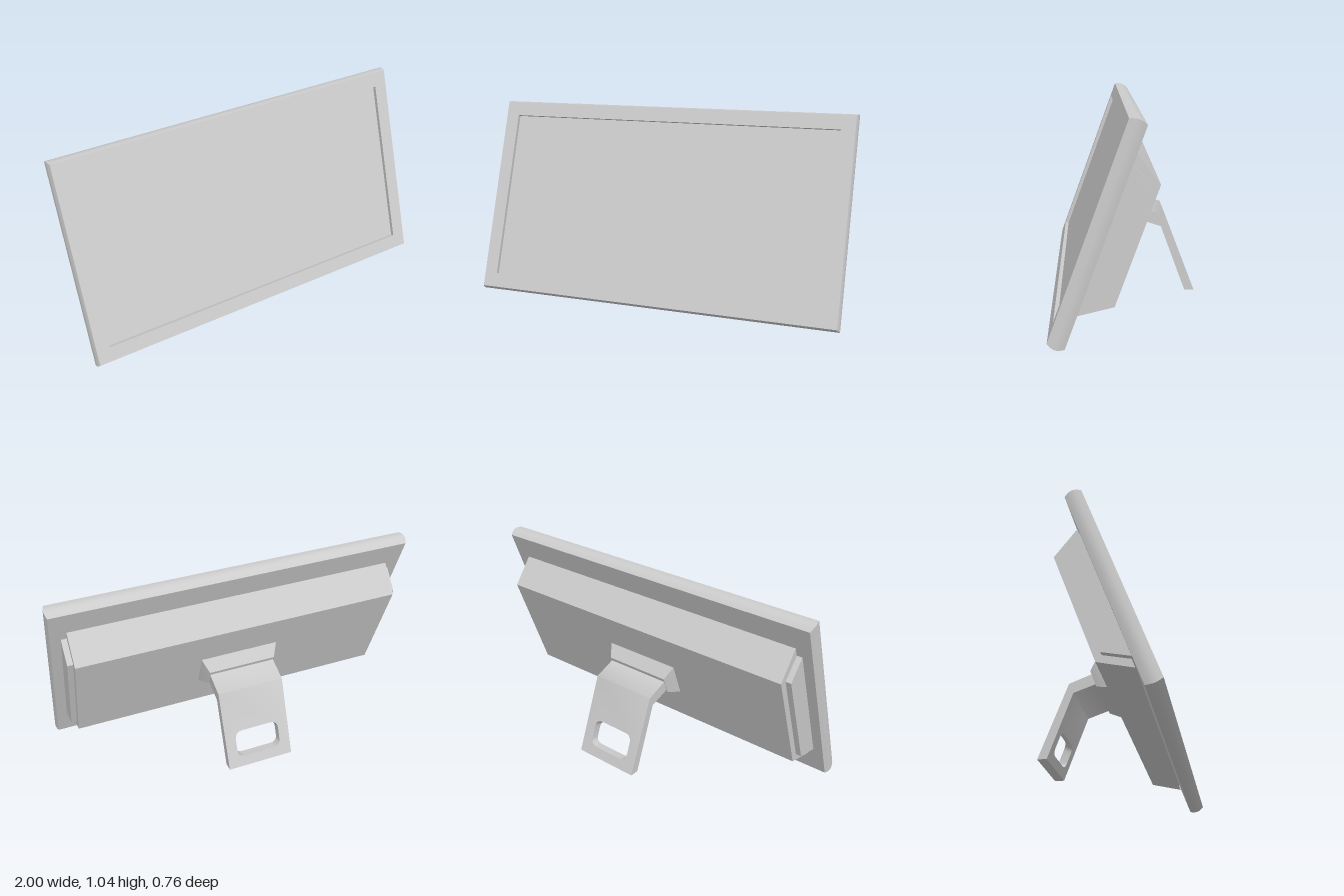
import * as THREE from 'three';
import { mergeGeometries, toCreasedNormals } from 'three/addons/utils/BufferGeometryUtils.js';

const material = new THREE.MeshStandardMaterial({ color: 0xcccccc });
const TILT = THREE.MathUtils.degToRad(20);

function addMesh(parent, name, geometry) {
  const mesh = new THREE.Mesh(geometry, material);
  mesh.name = name;
  parent.add(mesh);
  return mesh;
}

// Rectangular rings [halfWidth, halfHeight, z], joined from back to front and capped.
function loft(rings) {
  const positions = [];
  const index = [];
  for (const [hx, hy, z] of rings) {
    positions.push(-hx, -hy, z, hx, -hy, z, hx, hy, z, -hx, hy, z);
  }
  for (let i = 0; i < rings.length - 1; i++) {
    for (let j = 0; j < 4; j++) {
      const a = i * 4 + j;
      const b = i * 4 + (j + 1) % 4;
      index.push(a, b, b + 4, a, b + 4, a + 4);
    }
  }
  const n = (rings.length - 1) * 4;
  index.push(0, 2, 1, 0, 3, 2, n, n + 1, n + 2, n, n + 2, n + 3);
  const geometry = new THREE.BufferGeometry();
  geometry.setAttribute('position', new THREE.Float32BufferAttribute(positions, 3));
  geometry.setIndex(index);
  return toCreasedNormals(geometry.toNonIndexed(), 0.6);
}

// Side profile of [z, y] points, extruded across the width.
function slab(profile, halfWidth) {
  const shape = new THREE.Shape(profile.map(([z, y]) => new THREE.Vector2(-z, y)));
  const geometry = new THREE.ExtrudeGeometry(shape, { depth: halfWidth * 2, bevelEnabled: false });
  return geometry.translate(0, 0, -halfWidth).rotateY(Math.PI / 2);
}

// Plate of unit height and depth, mapped onto the quad between an outer and an inner edge.
// Each edge is [start, end] in [z, y].
function plate(shape, outer, inner) {
  const geometry = new THREE.ExtrudeGeometry(shape, { depth: 1, bevelEnabled: false, curveSegments: 5 });
  const p = geometry.attributes.position;
  const mix = THREE.MathUtils.lerp;
  for (let i = 0; i < p.count; i++) {
    const v = p.getY(i);
    const t = p.getZ(i);
    const [z, y] = [0, 1].map((k) =>
      mix(mix(outer[0][k], outer[1][k], v), mix(inner[0][k], inner[1][k], v), t));
    p.setXYZ(i, p.getX(i), y, z);
  }
  return geometry;
}

function plateShape(hw) {
  return new THREE.Shape([[-hw, 0], [hw, 0], [hw, 1], [-hw, 1]].map(([x, y]) => new THREE.Vector2(x, y)));
}

// Rounded grip opening
function gripHole(hx, v0, v1, rx, rv) {
  const h = new THREE.Path();
  h.moveTo(-hx + rx, v0);
  h.lineTo(hx - rx, v0);
  h.quadraticCurveTo(hx, v0, hx, v0 + rv);
  h.lineTo(hx, v1 - rv);
  h.quadraticCurveTo(hx, v1, hx - rx, v1);
  h.lineTo(-hx + rx, v1);
  h.quadraticCurveTo(-hx, v1, -hx, v1 - rv);
  h.lineTo(-hx, v0 + rv);
  h.quadraticCurveTo(-hx, v0, -hx + rx, v0);
  return h;
}

export function createModel() {
  const model = new THREE.Group();
  model.name = 'tiltedDisplay';

  // Tilted frame; origin is the middle of the front face
  const tilted = new THREE.Group();
  tilted.name = 'tiltedParts';
  tilted.position.set(0, 0.5365, 0.1975);
  tilted.rotation.x = -TILT;
  model.add(tilted);

  // Panel with bulged rim and recessed screen
  const depth = 0.085;
  const rings = [];
  for (let i = 0; i <= 8; i++) {
    const bulge = Math.sin((i / 8) * Math.PI);
    rings.push([0.99 + 0.01 * bulge, 0.5335 + 0.012 * bulge, -depth + (depth * i) / 8]);
  }
  rings.push([0.917, 0.456, 0], [0.917, 0.456, -0.02]);
  addMesh(tilted, 'screenPanel', loft(rings));

  // Hinge block tapering away from the housing
  addMesh(tilted, 'hingeBlock', loft([[0.19, 0.0505, -0.3035], [0.22, 0.097, -0.24], [0.22, 0.097, -0.22]]));

  // Rear housing and the slightly wider, smaller side plates
  addMesh(model, 'rearHousing', slab([[-0.02, 0.88], [-0.13, 0.735], [0.075, 0.172], [0.25, 0.13]], 0.905));
  addMesh(model, 'sidePlates', slab([[0, 0.835], [-0.088, 0.73], [0.103, 0.203], [0.24, 0.172]], 0.935));

  // Bent stand leg with a grip opening
  const hw = 0.187;
  const neck = plate(plateShape(hw), [[-0.22, 0.415], [-0.09, 0.464]], [[-0.195, 0.36], [-0.07, 0.403]]);
  const shankShape = plateShape(hw);
  shankShape.holes.push(gripHole(0.127, 0.13, 0.47, 0.045, 0.1));
  const shank = plate(shankShape, [[-0.378, 0], [-0.22, 0.415]], [[-0.327, 0], [-0.195, 0.36]]);
  addMesh(model, 'standLeg', toCreasedNormals(mergeGeometries([neck, shank]), 0.95));

  return model;
}
